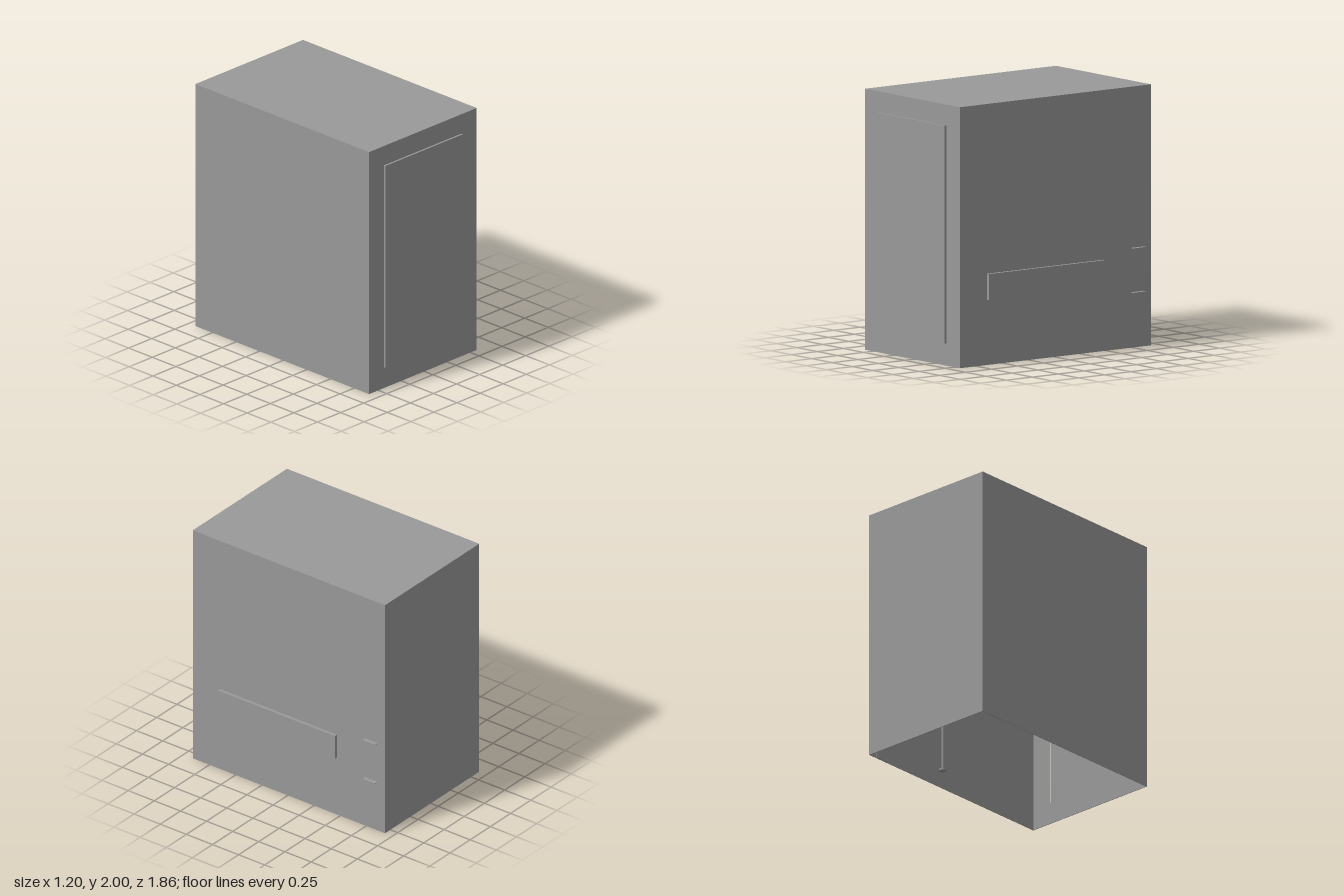
import * as THREE from 'three';

export function createModel() {
  const model = new THREE.Group();
  model.name = 'openShell';
  const grey = new THREE.MeshStandardMaterial({ color: 0x999999 });
  grey.name = 'grey';

  const add = (name, geometry, x = 0, y = 0, z = 0) => {
    const mesh = new THREE.Mesh(geometry, grey);
    mesh.name = name;
    mesh.position.set(x, y, z);
    model.add(mesh);
    return mesh;
  };
  // box given by its lower and upper corners
  const box = (name, [x0, y0, z0], [x1, y1, z1]) =>
    add(name, new THREE.BoxGeometry(x1 - x0, y1 - y0, z1 - z0),
      (x0 + x1) / 2, (y0 + y1) / 2, (z0 + z1) / 2);

  const X0 = -0.6, X1 = 0.567, H = 2, Z0 = -0.93, Z1 = 0.91, T = 0.005;

  // thin walls and roof; the underside stays open
  box('leftOuterWall', [X1 - T, 0, Z0], [X1, H, Z1]);
  box('rightOuterWall', [X0, 0, Z0], [X0 + T, H, Z1]);
  box('backWall', [X0 + T, 0, Z0], [X1 - T, H, Z0 + T]);
  box('roof', [X0 + T, H - T, Z0 + T], [X1 - T, H, Z1]);

  // rectangular outline, clockwise for holes
  const rectangle = (Type, x0, y0, x1, y1) => {
    const r = new Type();
    r.moveTo(x0, y0).lineTo(x0, y1).lineTo(x1, y1).lineTo(x1, y0).closePath();
    return r;
  };
  const frame = (outer, inner, depth) => {
    const shape = rectangle(THREE.Shape, ...outer);
    shape.holes.push(rectangle(THREE.Path, ...inner));
    return new THREE.ExtrudeGeometry(shape, { depth, bevelEnabled: false });
  };

  // front wall with an opening behind the raised hollow panel
  const P = [-0.435, 0.17, 0.4, 1.84];
  const inside = [P[0] + T, P[1] + T, P[2] - T, P[3] - T];
  add('frontWall', frame([X0 + T, 0, X1 - T, H - T], inside, T), 0, 0, Z1 - T);
  add('frontPanelRim', frame(P, inside, 0.015), 0, 0, Z1);
  box('frontPanel', [P[0], P[1], 0.922], [P[2], P[3], 0.926]);

  // thin raised frame on the side
  const sideFrame = add('sideFrame',
    frame([-0.65, 0.5, 0.47, 0.7], [-0.645, 0.505, 0.465, 0.695], 0.025), X1, 0, 0);
  sideFrame.rotation.y = Math.PI / 2;

  // two rounded tabs near the back edge of the side
  const tab = new THREE.Shape();
  tab.moveTo(0, -0.06).lineTo(0.02, -0.06).quadraticCurveTo(0.032, -0.06, 0.032, -0.048)
    .lineTo(0.032, 0.048).quadraticCurveTo(0.032, 0.06, 0.02, 0.06).lineTo(0, 0.06).closePath();
  for (const y of [0.42, 0.76]) {
    const mesh = add('sideTab', new THREE.ExtrudeGeometry(tab,
      { depth: T, bevelEnabled: false, curveSegments: 4 }), X1, y, -0.8);
    mesh.rotation.x = -Math.PI / 2;
  }

  // flat rib lining the walls and roof
  const [R0, R1] = [-0.86, -0.74];
  box('rightRib', [X0 + T, 0, R0], [X0 + 2 * T, H - T, R1]);
  box('leftRib', [X1 - 2 * T, 0, R0], [X1 - T, H - T, R1]);
  box('roofRib', [X0 + 2 * T, H - 2 * T, R0], [X1 - 2 * T, H - T, R1]);

  // inner poles with a round flange at each end
  for (const x of [-0.52, 0.47]) {
    add('pole', new THREE.CylinderGeometry(0.011, 0.011, 1.9, 12), x, 1.04, -0.21);
    for (const y of [0.09, 1.985])
      add('poleFlange', new THREE.CylinderGeometry(0.028, 0.028, 0.015, 16), x, y, -0.21);
  }
  return model;
}
